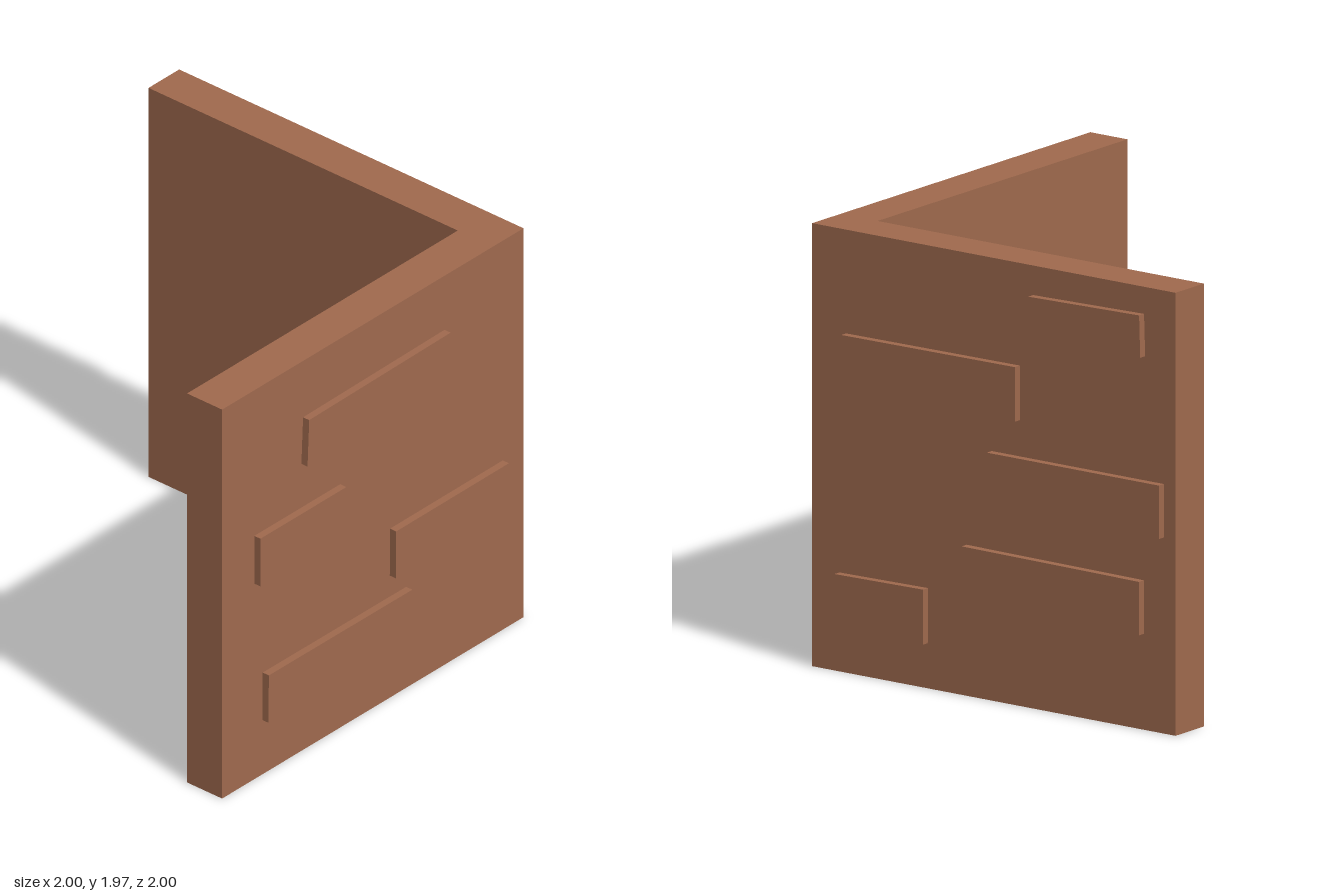
import * as THREE from 'three';

const WALL = 0.965; // outer face of both walls, also half the overhang limit
const HEIGHT = 1.965;

const polygon = (points) => new THREE.Shape(points.map(([x, y]) => new THREE.Vector2(x, y)));

export function createModel() {
  const model = new THREE.Group();
  model.name = 'brickCorner';
  const brickRed = new THREE.MeshStandardMaterial({ color: 0xa06a4e });
  brickRed.name = 'brick brown';

  // L-shaped corner wall, drawn in plan as (x, -z) and raised upright
  const plan = polygon([[-1, -WALL], [WALL, -WALL], [WALL, 1], [0.765, 1], [0.765, -0.765], [-1, -0.765]]);
  const wallGeometry = new THREE.ExtrudeGeometry(plan, { depth: HEIGHT, bevelEnabled: false });
  wallGeometry.rotateX(-Math.PI / 2);
  const wall = new THREE.Mesh(wallGeometry, brickRed);
  wall.name = 'cornerWall';
  model.add(wall);

  // Slightly uneven raised bricks, each given by its four corners on the wall face
  const addBricks = (name, bricks, turn) => {
    const group = new THREE.Group();
    group.name = name;
    bricks.forEach((corners, i) => {
      const geometry = new THREE.ExtrudeGeometry(polygon(corners), { depth: 0.045, bevelEnabled: false });
      const brick = new THREE.Mesh(geometry, brickRed);
      brick.name = `brick${i + 1}`;
      brick.position.z = WALL - 0.01;
      group.add(brick);
    });
    group.rotation.y = turn;
    model.add(group);
  };

  addBricks('frontBricks', [
    [[-0.483, 1.45], [0.455, 1.447], [0.45, 1.692], [-0.472, 1.68]],
    [[-0.79, 0.988], [-0.235, 0.994], [-0.23, 1.229], [-0.79, 1.229]],
    [[0.093, 0.617], [0.83, 0.617], [0.83, 0.855], [0.095, 0.853]],
    [[-0.738, 0.275], [0.2, 0.277], [0.2, 0.51], [-0.735, 0.513]],
  ], 0);

  // On the side wall the horizontal coordinate runs towards the back
  addBricks('sideBricks', [
    [[0.232, 1.645], [0.836, 1.658], [0.83, 1.845], [0.23, 1.834]],
    [[-0.776, 1.273], [0.158, 1.268], [0.158, 1.51], [-0.781, 1.505]],
    [[0.002, 0.87], [0.937, 0.87], [0.937, 1.107], [0.006, 1.107]],
    [[-0.13, 0.43], [0.83, 0.426], [0.83, 0.663], [-0.13, 0.67]],
    [[-0.818, 0.2], [-0.34, 0.2], [-0.338, 0.445], [-0.818, 0.439]],
  ], Math.PI / 2);

  return model;
}
